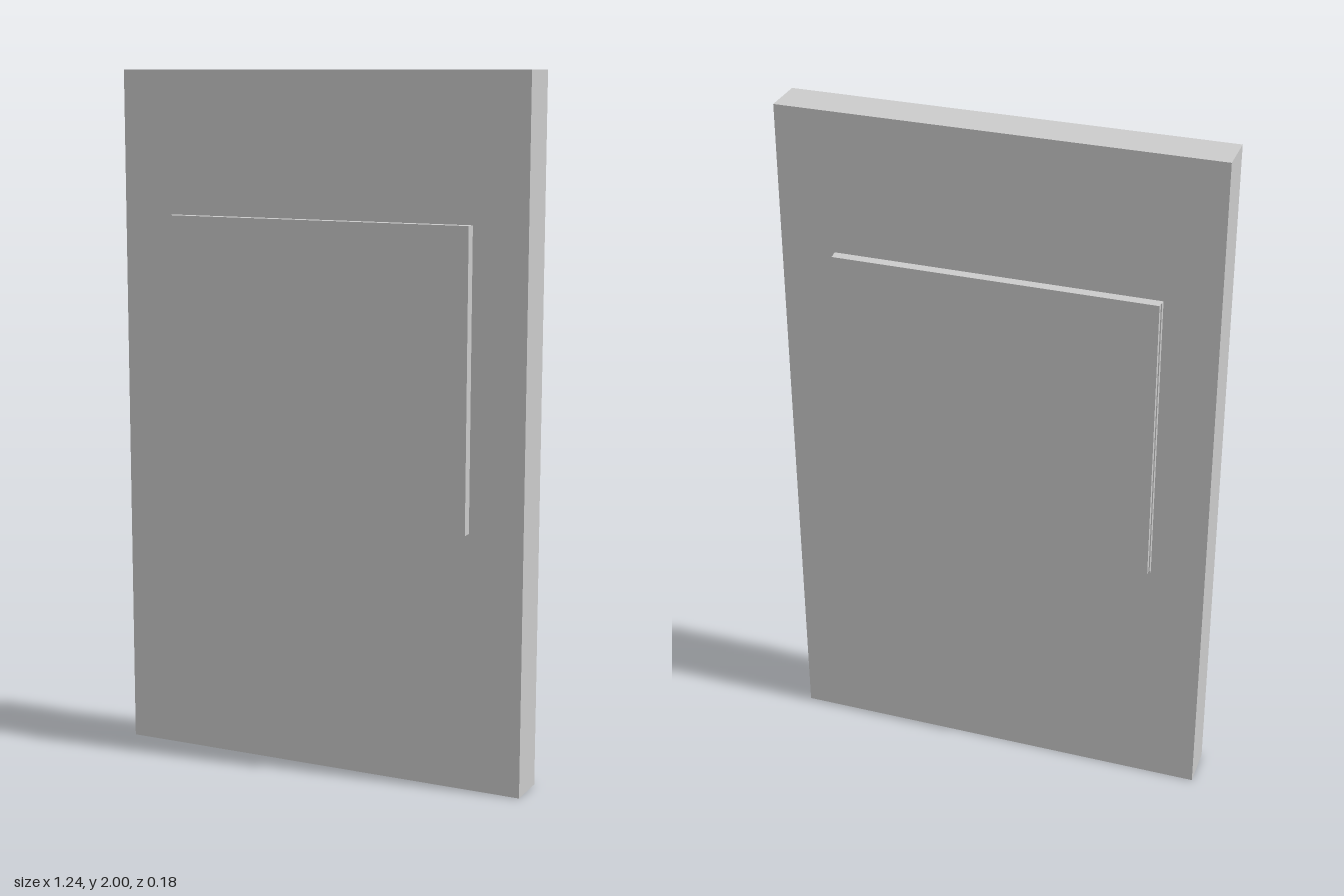
import * as THREE from 'three';

const material = new THREE.MeshStandardMaterial({ color: 0xcccccc, flatShading: true });

// Box given by its extents on each axis
function block(name, [x0, x1], [y0, y1], [z0, z1]) {
  const mesh = new THREE.Mesh(new THREE.BoxGeometry(x1 - x0, y1 - y0, z1 - z0), material);
  mesh.position.set((x0 + x1) / 2, (y0 + y1) / 2, (z0 + z1) / 2);
  mesh.name = name;
  return mesh;
}

export function createModel() {
  const group = new THREE.Group();
  group.name = 'panelledSlab';

  // Upright slab
  const face = 0.062;
  group.add(block('slab', [-0.622, 0.622], [0, 2], [-face, face]));

  // Raised panels, seated slightly into the slab on both faces
  const bottom = 0.74, top = 1.589, raised = 0.092, seat = 0.05;
  group.add(block('frontPanel', [-0.462, 0.462], [bottom, top], [seat, raised]));
  group.add(block('backPanel', [-0.462, 0.462], [bottom, top], [-raised, -seat]));

  // Fine steps around the back panel
  group.add(block('backPanelRim', [-0.465, 0.465], [bottom, top], [-0.077, -seat]));
  group.add(block('backPanelLip', [-0.465, 0.465], [0.731, bottom + 0.02], [-0.07, -seat]));

  return group;
}
